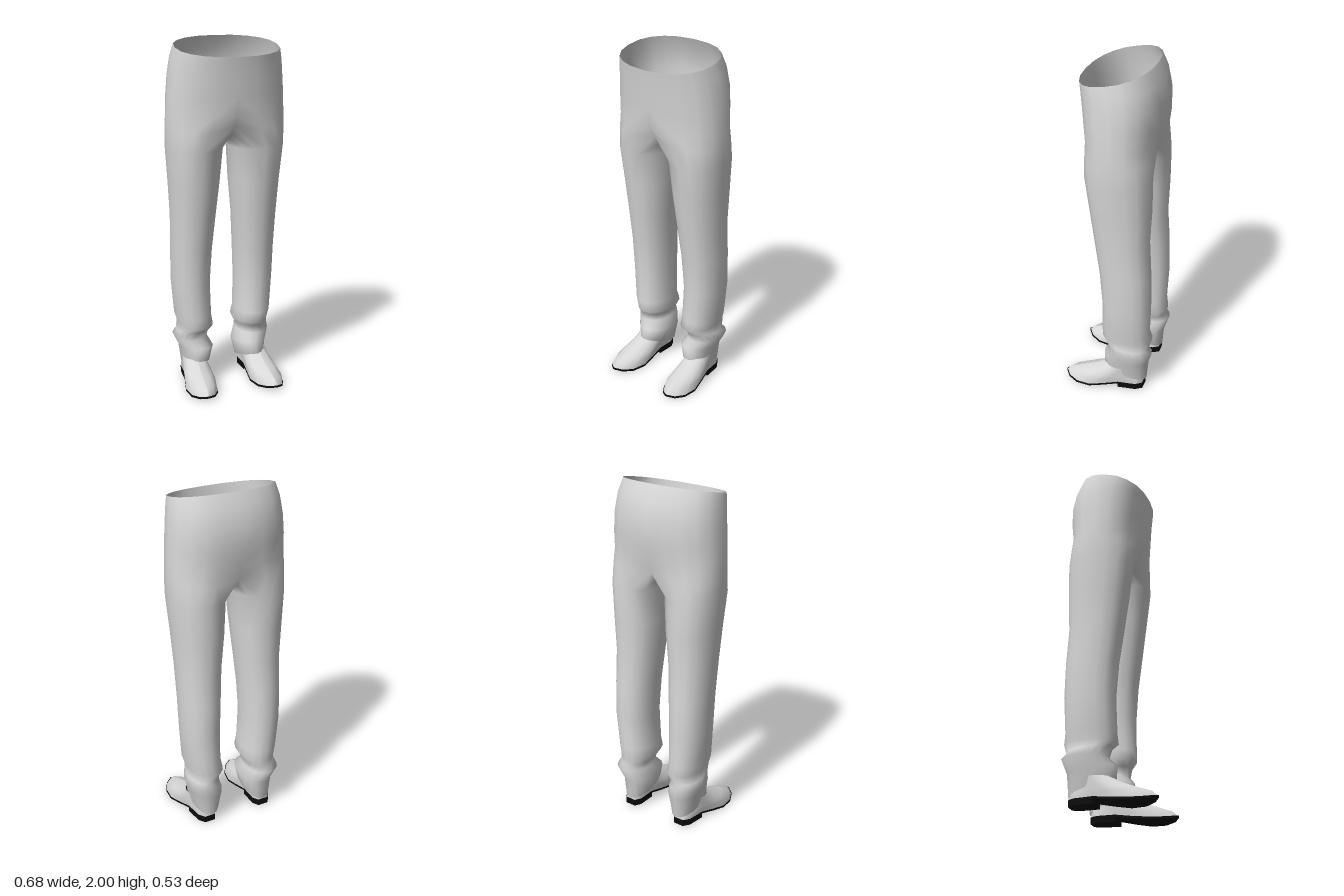
import * as THREE from 'three';
import { mergeVertices } from 'three/addons/utils/BufferGeometryUtils.js';

const HALF = 10; // columns running front centre -> outside -> back centre
const RING = 16; // columns all round a leg or a shoe
const soft = (v, e) => Math.sign(v) * Math.pow(Math.abs(v), e);

// Join rows of points (top to bottom) into a skin; each side is a mirrored copy
function loft(rows, { sides = [1], caps = false, flat = false } = {}) {
  const pos = [], index = [];
  for (const s of sides) {
    const starts = rows.map((row) => {
      const start = pos.length / 3;
      for (const [x, y, z] of row) pos.push(x * s, y, z);
      return start;
    });
    const tri = (a, b, c) => (s > 0 ? index.push(a, b, c) : index.push(a, c, b));
    const quad = (a, b, c, d) => { tri(a, b, c); tri(a, c, d); };
    for (let r = 0; r + 1 < rows.length; r++) {
      const n = Math.min(rows[r].length, rows[r + 1].length);
      const open = n === HALF + 1;
      for (let i = 0; i < (open ? n - 1 : n); i++) {
        const j = (i + 1) % n, u = starts[r], l = starts[r + 1];
        quad(u + i, l + i, l + j, u + j);
      }
    }
    if (caps) {
      const n = rows[0].length, u = starts[0], l = starts[rows.length - 1];
      for (let i = 0; i < n / 2 - 1; i++) {
        quad(u + i, u + i + 1, u + n - 2 - i, u + n - 1 - i);
        quad(l + i, l + n - 1 - i, l + n - 2 - i, l + i + 1);
      }
    }
  }
  let g = new THREE.BufferGeometry();
  g.setAttribute('position', new THREE.Float32BufferAttribute(pos, 3));
  g.setIndex(index);
  g = flat ? g.toNonIndexed() : mergeVertices(g, 1e-4);
  g.computeVertexNormals();
  return g;
}

// Half ring of the seat, from front centre round the hip to back centre
function hipRow(y, tilt, rx, front, back, cleft = 0) {
  const cz = (front + back) / 2, rz = (front - back) / 2;
  return Array.from({ length: HALF + 1 }, (_, i) => {
    const a = (i / HALF) * Math.PI;
    const x = i % HALF ? rx * soft(Math.sin(a), 0.9) : 0;
    const z = cz + rz * soft(Math.cos(a), 0.85) + (i === HALF ? cleft : 0);
    return [x, y + tilt * z, z];
  });
}

// Full ring of a leg, starting at the inner front
function legRow(y, tilt, inner, outer, front, back) {
  const cx = (inner + outer) / 2, rx = (outer - inner) / 2;
  const cz = (front + back) / 2, rz = (front - back) / 2;
  return Array.from({ length: RING }, (_, i) => {
    const a = Math.PI / 2 + ((i - HALF / 2) * 2 * Math.PI) / RING;
    const dz = rz * soft(Math.cos(a), 0.92);
    return [cx + rx * soft(Math.sin(a), 0.92), y + tilt * dz, cz + dz];
  });
}

// Ring where the legs part: outside blends hip and leg, inside lies on the centre seam
function crotchRow() {
  const hip = hipRow(1.51, 0, 0.34, 0.145, -0.246);
  const leg = legRow(1.51, 0, 0.01, 0.342, 0.145, -0.246);
  const seam = { 10: [1.52, -0.215], 11: [1.475, -0.165], 12: [1.45, -0.11], 13: [1.44, -0.05],
    14: [1.45, 0], 15: [1.48, 0.06], 0: [1.535, 0.115] };
  return leg.map((p, i) => seam[i]
    ? [0, ...seam[i]]
    : p.map((v, k) => (v + hip[i][k]) / 2));
}

// Shoe plan: position from heel to toe, half width, underside height
const PLAN = [
  [0, 0.35, 0.03], [0.08, 0.6, 0.03], [0.3, 0.66, 0.03], [0.48, 0.84, 0.014],
  [0.65, 1, 0.002], [0.82, 0.85, 0], [0.94, 0.5, 0.008], [1, 0.05, 0.018],
];

// Shoe ring from the toe along the outside to the heel and back along the inside
function shoeRow(plan, back, front, width, round, yAt) {
  const side = (s) => plan.map(([t, f, y]) => {
    const z = back + (front - back) * t;
    const oval = Math.sqrt(Math.max(0, 1 - (2 * t - 1) ** 2));
    const w = width * THREE.MathUtils.lerp(f, oval, round);
    return [0.193 + 0.06 * z + s * w, yAt(y), z];
  });
  return [...side(1).reverse(), ...side(-1)];
}

export function createModel() {
  const group = new THREE.Group();
  const grey = new THREE.MeshStandardMaterial({ color: 0xd8d8d8, side: THREE.DoubleSide });
  grey.name = 'light grey';
  const black = new THREE.MeshStandardMaterial({ color: 0x0c0c0c });
  black.name = 'black';
  const add = (name, geometry, material, parent = group) => {
    const mesh = new THREE.Mesh(geometry, material);
    mesh.name = name;
    parent.add(mesh);
  };

  // Trousers: tilted waist, seat, then two legs with wrinkles above the cuffs
  const trousers = [
    hipRow(1.957, -0.2125, 0.298, 0.19, -0.21),
    hipRow(1.885, -0.15, 0.314, 0.182, -0.245),
    hipRow(1.8, -0.06, 0.325, 0.175, -0.266),
    hipRow(1.7, 0, 0.334, 0.166, -0.264, 0.006),
    hipRow(1.6, 0, 0.339, 0.156, -0.252, 0.018),
    crotchRow(),
    legRow(1.4, 0, 0.025, 0.338, 0.13, -0.24),
    legRow(1.2, 0, 0.04, 0.322, 0.105, -0.24),
    legRow(1.0, 0, 0.06, 0.31, 0.078, -0.232),
    legRow(0.8, 0, 0.075, 0.306, 0.05, -0.245),
    legRow(0.6, 0, 0.085, 0.302, 0.035, -0.25),
    legRow(0.4, 0, 0.08, 0.286, 0.04, -0.243),
    legRow(0.345, 0, 0.07, 0.268, 0.044, -0.255),
    legRow(0.3, 0.1, 0.094, 0.276, 0.012, -0.235),
    legRow(0.26, 0, 0.098, 0.29, -0.002, -0.26),
    legRow(0.2, 0.12, 0.07, 0.262, 0.035, -0.236),
    legRow(0.1, 0.31, 0.095, 0.248, 0.035, -0.226),
    legRow(0.108, 0.31, 0.107, 0.236, 0.023, -0.214),
  ];
  add('trousers', loft(trousers, { sides: [1, -1] }), grey);

  // Shoes: open upper, thin curved sole and a low heel
  const upper = [
    shoeRow(PLAN, -0.195, 0.015, 0.07, 0.7, () => 0.15),
    shoeRow(PLAN, -0.2, 0.085, 0.074, 0.6, () => 0.112),
    shoeRow(PLAN, -0.205, 0.165, 0.083, 0.35, () => 0.08),
    shoeRow(PLAN, -0.21, 0.235, 0.09, 0.1, (y) => 0.05 + y * 0.3),
    shoeRow(PLAN, -0.21, 0.263, 0.091, 0, (y) => y + 0.01),
  ];
  const sole = [0.012, 0].map((h) => shoeRow(PLAN, -0.213, 0.267, 0.092, 0, (y) => y + h));
  const heelPlan = PLAN.slice(0, 3);
  const heel = [0.031, 0.004].map((h) => shoeRow(heelPlan, -0.213, 0.267, 0.092, 0, () => h));
  for (const s of [1, -1]) {
    const shoe = new THREE.Group();
    shoe.name = s > 0 ? 'leftShoe' : 'rightShoe';
    add('upper', loft(upper, { sides: [s] }), grey, shoe);
    add('sole', loft(sole, { sides: [s], caps: true, flat: true }), black, shoe);
    add('heel', loft(heel, { sides: [s], caps: true, flat: true }), black, shoe);
    group.add(shoe);
  }
  return group;
}
